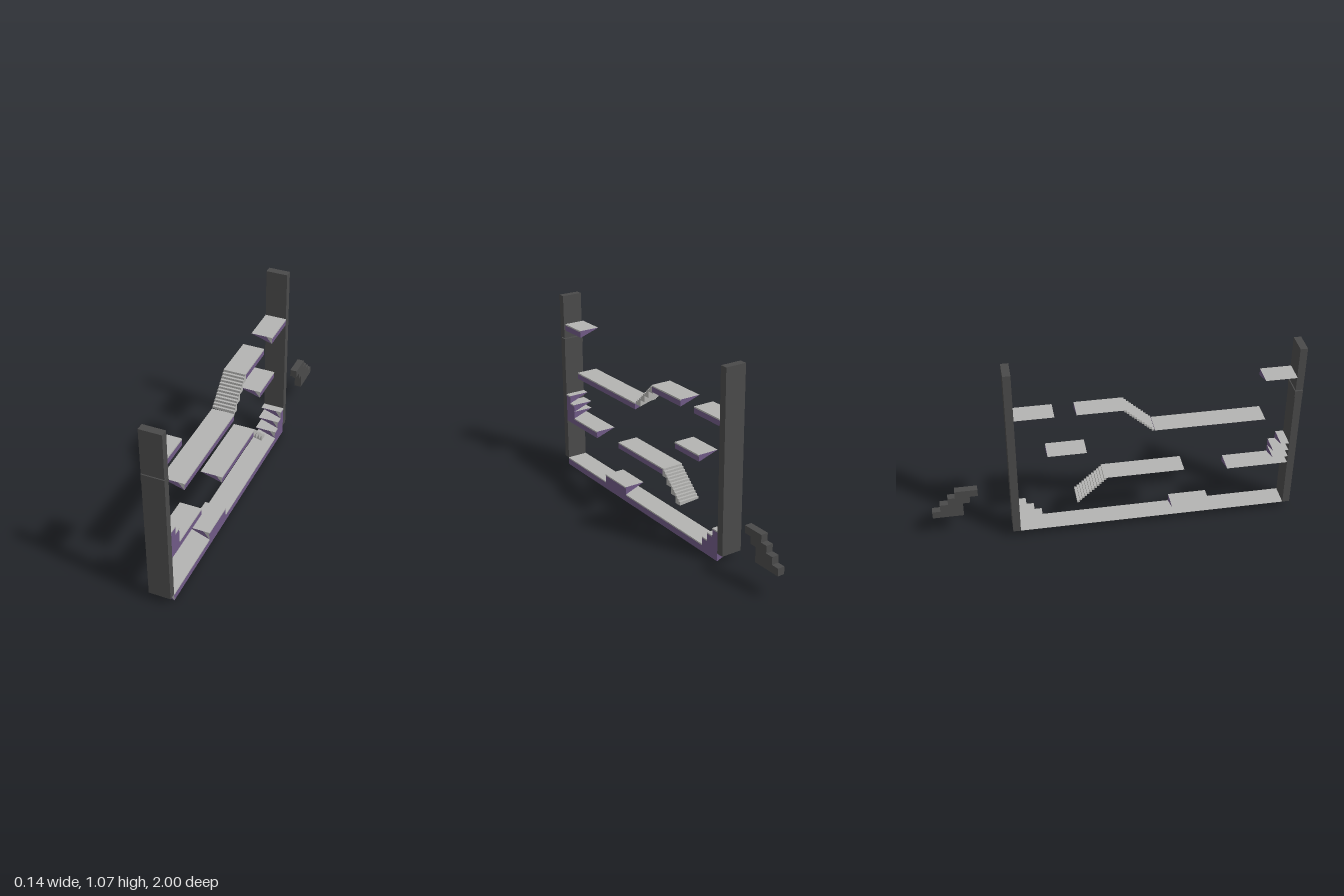
import * as THREE from 'three';

export function createModel() {
  const model = new THREE.Group();
  const mat = (name, color) => {
    const m = new THREE.MeshStandardMaterial({ color });
    m.name = name;
    return m;
  };
  const light = mat('light grey', 0xb4b4b2);
  const purple = mat('purple', 0x705a86);
  const dark = mat('dark grey', 0x4a4a4a);

  const add = (name, geometry, material) => {
    const mesh = new THREE.Mesh(geometry, material);
    mesh.name = name;
    model.add(mesh);
  };

  function box(name, x0, x1, y0, y1, z0, z1, material = dark) {
    const g = new THREE.BoxGeometry(x1 - x0, y1 - y0, z1 - z0);
    g.translate((x0 + x1) / 2, (y0 + y1) / 2, (z0 + z1) / 2);
    add(name, g, material);
  }

  // Prism with a level top, an upright +x side and an underside sloping up to -x
  function wedge(name, zFront, zBack, top, bottom, x0 = -0.06, x1 = 0.06, side = purple) {
    const corner = (x, y) => [[x, y, zFront], [x, y, zBack]];
    const [af, ab] = corner(x0, top);
    const [bf, bb] = corner(x1, top);
    const [cf, cb] = corner(x1, bottom);
    const [mf] = corner(x1 - 0.033, top);
    const quad = (a, b, c, d) => [a, b, c, a, c, d];
    const faces = [
      [...quad(af, bf, bb, ab), ...quad(af, ab, cb, cf), mf, cf, bf],
      [...quad(cf, cb, bb, bf), af, cf, mf, ab, bb, cb],
    ];
    const g = new THREE.BufferGeometry();
    g.setAttribute('position', new THREE.Float32BufferAttribute(faces.flat(2), 3));
    g.addGroup(0, faces[0].length, 0);
    g.addGroup(faces[0].length, faces[1].length, 1);
    g.computeVertexNormals();
    add(name, g, [light, side]);
  }

  // Light strip along the upper edge of a purple side
  const trim = (zFront, zBack, top, x1 = 0.06) =>
    box('edgeTrim', x1 - 0.001, x1 + 0.001, top - 0.008, top, zBack, zFront, light);

  function platform(name, zFront, zBack, top, bottom, x0 = -0.06, x1 = 0.06) {
    wedge(name, zFront, zBack, top, bottom, x0, x1);
    trim(zFront, zBack, top, x1);
  }

  // End posts; the front one is split by a narrow joint
  box('frontPostLower', -0.06, 0.06, 0.045, 0.768, 0.96, 1);
  box('frontPostCollar', -0.062, 0.06, 0.768, 0.805, 0.957, 1);
  box('frontPostUpper', -0.06, 0.06, 0.811, 1.065, 0.96, 1);
  box('backPost', -0.06, 0.06, 0.045, 1.065, -0.572, -0.53);

  // Floor with its raised block
  wedge('floor', 0.96, -0.53, 0.045, 0);
  trim(0.96, 0.535, 0.045);
  trim(0.32, -0.4, 0.045);
  platform('floorBlock', 0.535, 0.32, 0.09, 0.045);

  // Steps climbing to the back post
  for (let i = 0; i < 3; i++) {
    const z = -0.4 - i * 0.043, top = 0.088 + i * 0.043;
    wedge('backStep', z, -0.53, top, top - 0.043);
    trim(z, z - 0.043, top);
  }

  // Platforms
  platform('topFrontPlatform', 0.96, 0.79, 0.895, 0.855, -0.07, 0.05);
  platform('longPlatform', 0.81, 0.21, 0.64, 0.602, -0.06, 0.064);
  platform('upperPlatform', 0.055, -0.205, 0.788, 0.75);
  platform('backPlatform', -0.32, -0.53, 0.788, 0.75);
  platform('smallPlatform', -0.155, -0.365, 0.537, 0.5);
  platform('middlePlatform', 0.38, -0.05, 0.35, 0.313, -0.055, 0.067);

  // Lower front platform with steps climbing to the front post
  wedge('lowerFrontPlatform', 0.96, 0.62, 0.33, 0.29);
  trim(0.875, 0.62, 0.33);
  wedge('frontStep', 0.96, 0.875, 0.372, 0.33);
  wedge('frontStep', 0.96, 0.875, 0.415, 0.372);
  trim(0.915, 0.875, 0.415);
  wedge('frontStep', 0.96, 0.915, 0.46, 0.415);
  trim(0.96, 0.915, 0.46);

  // Staircases: fine treads over four coarse wedge-shaped steps
  function stairs(name, zHigh, zLow, yHigh, yLow, x0, x1) {
    const n = 12, per = 3;
    const dz = (zLow - zHigh) / n, dy = (yHigh - yLow) / n;
    for (let i = 0; i < n; i++) {
      const a = zHigh + dz * i, b = a + dz, top = yHigh - dy * i;
      const front = Math.max(a, b), back = Math.min(a, b);
      const bottom = yHigh - dy * per * (Math.floor(i / per) + 1) - 0.008;
      box(name + 'Tread', x0, x1, top - dy, top, back, front, light);
      wedge(name, front, back, top - dy, bottom, x0, x1, light);
    }
  }
  stairs('upperStairs', 0.045, 0.205, 0.788, 0.64, -0.06, 0.06);
  stairs('lowerStairs', -0.05, -0.213, 0.35, 0.2, -0.055, 0.067);

  // Detached flight of steps behind the back post
  const profile = [
    [0.745, 0.3], [0.745, 0.258], [0.79, 0.258], [0.79, 0.217], [0.83, 0.217],
    [0.83, 0.133], [1, 0.133], [1, 0.175], [0.955, 0.175], [0.955, 0.217],
    [0.91, 0.217], [0.91, 0.258], [0.87, 0.258], [0.87, 0.3],
  ];
  const shape = new THREE.Shape(profile.map(([x, y]) => new THREE.Vector2(x, y)));
  const flight = new THREE.ExtrudeGeometry(shape, { depth: 0.04, bevelEnabled: false });
  flight.rotateY(Math.PI / 2).translate(0.02, 0, 0);
  add('detachedSteps', flight, dark);

  return model;
}
